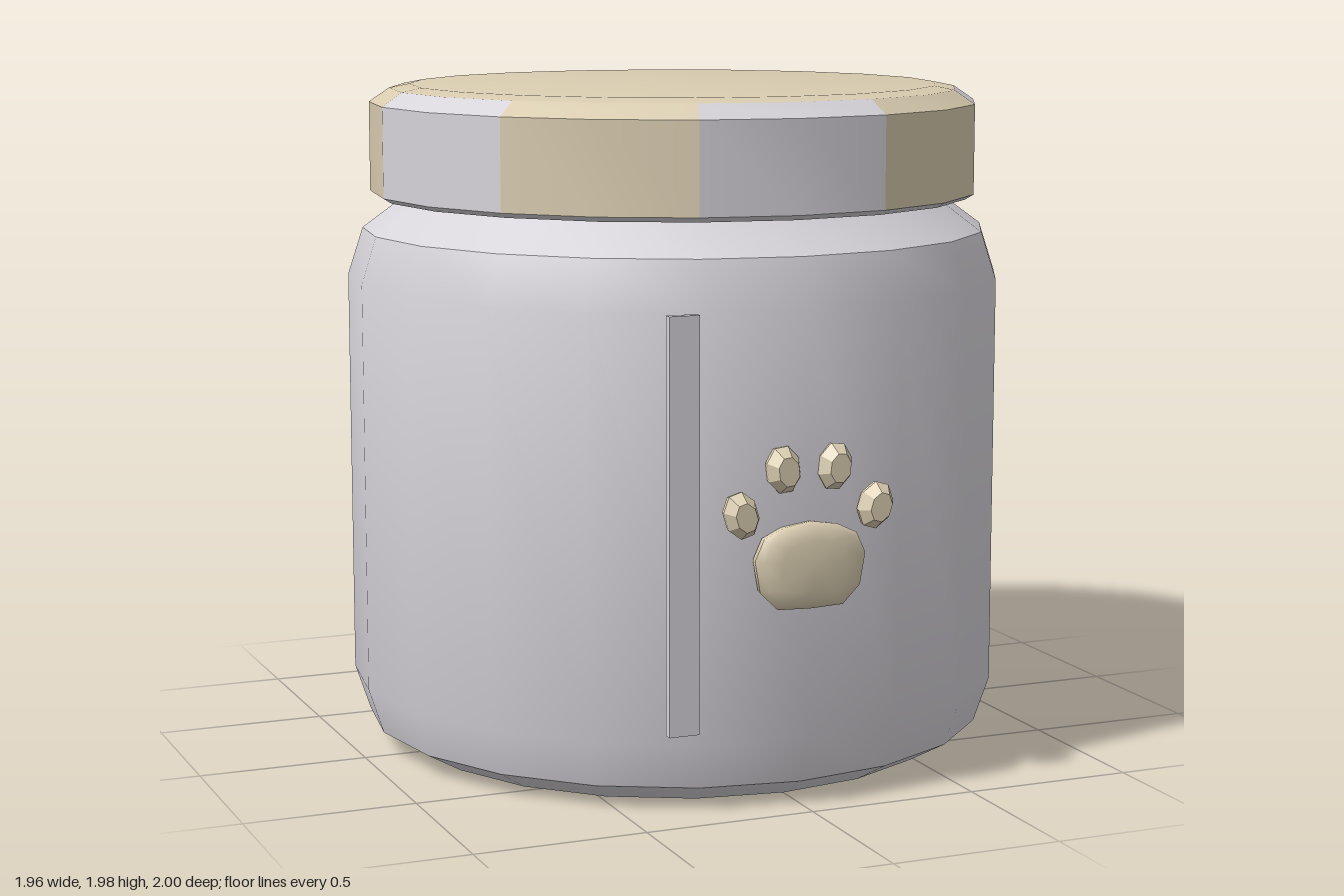
import * as THREE from 'three';
import { toCreasedNormals } from 'three/addons/utils/BufferGeometryUtils.js';

const SIDES = 20;
const CENTRE_Z = -0.02;

const grey = new THREE.MeshStandardMaterial({ color: 0xd6d3d9 });
grey.name = 'pale grey';
const beige = new THREE.MeshStandardMaterial({ color: 0xd9ccb0 });
beige.name = 'beige';

// Turned part from [radius, height] pairs, listed bottom to top
function turned(name, profile, material, sides = SIDES, start = 0, sweep = Math.PI * 2) {
  const points = profile.map(([r, y]) => new THREE.Vector2(r, y));
  const geometry = toCreasedNormals(new THREE.LatheGeometry(points, sides, start, sweep), 0.6);
  const mesh = new THREE.Mesh(geometry, material);
  mesh.name = name;
  mesh.position.z = CENTRE_Z;
  return mesh;
}

// Closed pad: a counter-clockwise outline scaled to each [z, scale] ring
function pad(name, outline, rings, crease) {
  const n = outline.length;
  const positions = [];
  const index = [];
  for (const [z, s] of rings) for (const [x, y] of outline) positions.push(x * s, y * s, z);
  for (let k = 0; k < rings.length - 1; k++) {
    for (let i = 0; i < n; i++) {
      const a = k * n + i, b = k * n + (i + 1) % n;
      index.push(a, b, b + n, a, b + n, a + n);
    }
  }
  const back = positions.length / 3, front = back + 1, last = (rings.length - 1) * n;
  positions.push(0, 0, rings[0][0], 0, 0, rings[rings.length - 1][0]);
  for (let i = 0; i < n; i++) {
    const j = (i + 1) % n;
    index.push(back, j, i, front, last + i, last + j);
  }
  const geometry = new THREE.BufferGeometry();
  geometry.setAttribute('position', new THREE.Float32BufferAttribute(positions, 3));
  geometry.setIndex(index);
  const mesh = new THREE.Mesh(toCreasedNormals(geometry, crease), beige);
  mesh.name = name;
  return mesh;
}

export function createModel() {
  const model = new THREE.Group();
  model.name = 'jar';

  // Jar body with chamfered foot and sloping shoulder
  model.add(turned('body', [
    [0, 0], [0.82, 0], [0.935, 0.065], [0.98, 0.2], [0.98, 1.41],
    [0.935, 1.55], [0.8, 1.65], [0, 1.65],
  ], grey));

  // Lid: ten alternating stripes, two facets each, around a plain cap
  const lid = new THREE.Group();
  lid.name = 'lid';
  const step = Math.PI / 5;
  for (let i = 0; i < 10; i++) {
    lid.add(turned('lidStripe', [[0.91, 1.66], [0.91, 1.925], [0.85, 1.966]],
      i % 2 ? beige : grey, 2, (i - 0.5) * step, step));
  }
  lid.add(turned('lidUnderside', [[0.75, 1.645], [0.885, 1.645], [0.91, 1.66]], grey));
  lid.add(turned('lidTop', [[0.85, 1.966], [0.79, 1.978], [0, 1.978]], beige));
  model.add(lid);

  // Slim upright strip on the front
  const strip = new THREE.Mesh(new THREE.BoxGeometry(0.09, 1.17, 0.025), grey);
  strip.name = 'frontStrip';
  strip.position.set(-0.357, 0.82, 0.911);
  model.add(strip);

  // Paw emblem: one domed pad and four bevelled toes
  const paw = new THREE.Group();
  paw.name = 'paw';
  const palm = pad('pawPalm', [
    [0.168, 0.02], [0.14, 0.08], [0.08, 0.108], [0, 0.121], [-0.08, 0.108], [-0.14, 0.08],
    [-0.168, 0.02], [-0.152, -0.07], [-0.1, -0.122], [0, -0.126], [0.1, -0.122], [0.152, -0.07],
  ], [[0.945, 0.97], [0.972, 1], [0.99, 0.88], [1, 0.6]], 0.9);
  palm.position.y = 0.702;
  paw.add(palm);

  const toeOutline = [];
  for (let i = 0; i < 8; i++) {
    const a = (i + 0.5) * Math.PI / 4;
    toeOutline.push([0.052 * Math.cos(a), 0.069 * Math.sin(a)]);
  }
  for (const side of [-1, 1]) {
    for (const [name, x, y, tilt] of [['innerToe', 0.078, 0.97, 0.12], ['outerToe', 0.204, 0.851, 0.3]]) {
      const toe = pad(name, toeOutline, [[0.945, 0.95], [0.962, 1], [1, 0.62]], 0.3);
      toe.position.set(side * x, y, 0);
      toe.rotation.z = -side * tilt;
      paw.add(toe);
    }
  }
  model.add(paw);
  return model;
}
